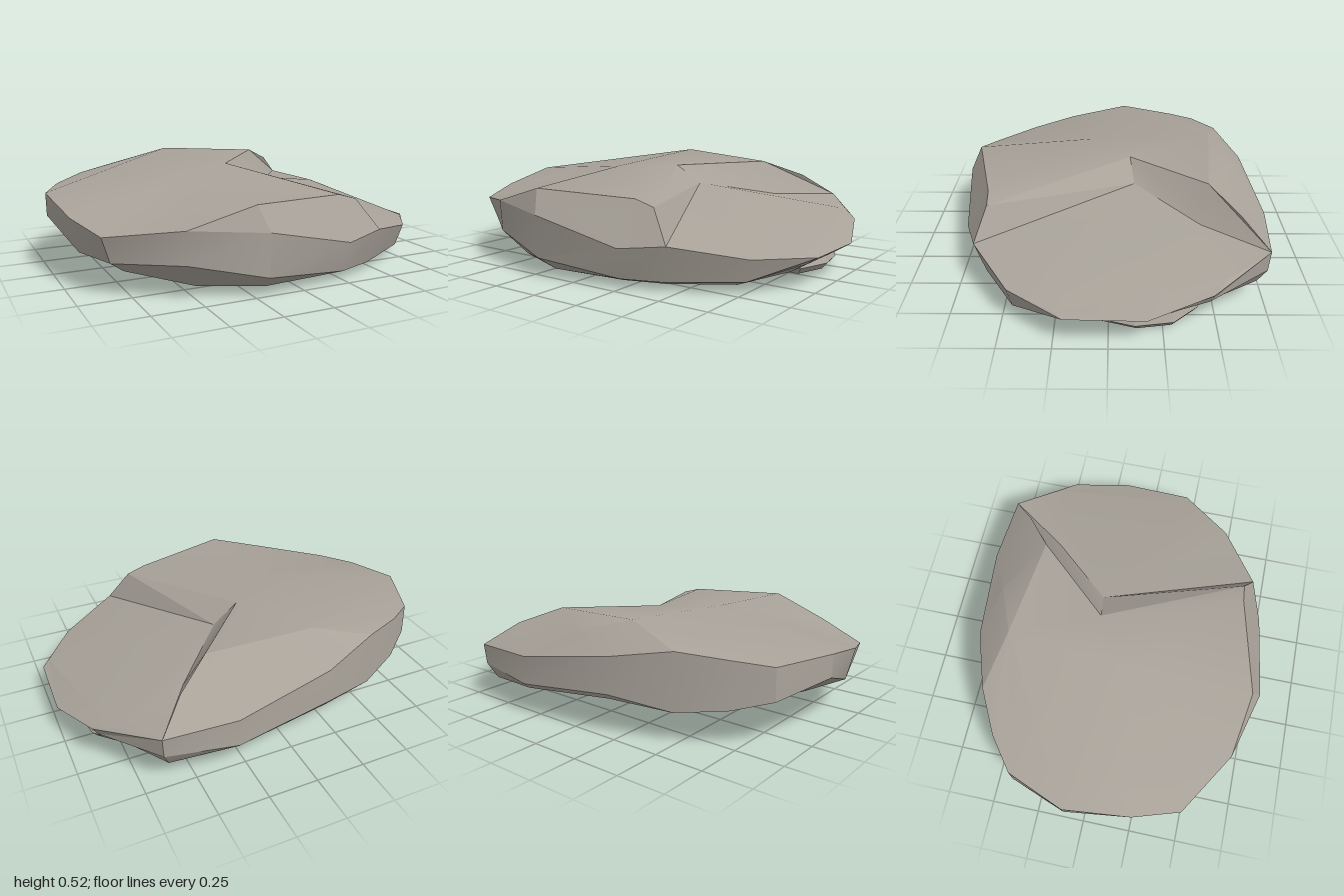
import * as THREE from 'three';
import { toCreasedNormals } from 'three/addons/utils/BufferGeometryUtils.js';
import { ConvexGeometry } from 'three/addons/geometries/ConvexGeometry.js';

// Outline columns, clockwise from the left tip:
// x, z, rim height, lower edge scale and height, belly scale and height
const columns = [
  [-1, -0.09, 0.40, 0.998, 0.285, 0.85, 0.18],
  [-0.88, -0.39, 0.39, 1.005, 0.23, 0.88, 0.21],
  [-0.72, -0.51, 0.42, 1.01, 0.19, 0.94, 0.19],
  [-0.5, -0.62, 0.445, 1.01, 0.16, 0.98, 0.16],
  [-0.2, -0.73, 0.39, 1.012, 0.21, 0.99, 0.185],
  [0.3, -0.79, 0.305, 1.01, 0.165, 0.98, 0.14],
  [0.66, -0.76, 0.295, 0.99, 0.19, 0.94, 0.11],
  [0.9, -0.47, 0.22, 0.97, 0.17, 0.89, 0.10],
  [1, -0.17, 0.155, 0.94, 0.115, 0.85, 0.08],
  [0.99, 0.2, 0.155, 0.93, 0.11, 0.85, 0.06],
  [0.79, 0.47, 0.17, 0.96, 0.06, 0.88, 0.03],
  [0.48, 0.67, 0.225, 0.93, 0.047, 0.86, 0.025],
  [0.26, 0.74, 0.20, 0.95, 0.05, 0.88, 0.03],
  [-0.2, 0.79, 0.31, 0.99, 0.10, 0.87, 0.03],
  [-0.56, 0.69, 0.335, 0.99, 0.175, 0.85, 0.045],
  [-0.88, 0.49, 0.295, 0.95, 0.165, 0.87, 0.11],
  [-0.96, 0.25, 0.34, 0.96, 0.17, 0.85, 0.13],
];

// Named corner points inside the outline
const points = {
  crest: [-0.2, 0.525, -0.55], middle: [-0.25, 0.478, 0.1],
  backEdge: [0.34, 0.49, -0.49], backLip: [0.52, 0.41, -0.63], backSlope: [0.05, 0.455, -0.66],
  notchTop: [0, 0.48, -0.11], notchFoot: [0.14, 0.39, -0.13], wallFoot: [0.44, 0.315, -0.45],
  frontA: [-0.24, 0.43, 0.735], frontB: [0.27, 0.41, 0.615], frontC: [0.37, 0.38, 0.61],
  bevelA: [0.82, 0.255, -0.54], bevelB: [0.95, 0.165, 0.24],
  keelA: [-0.15, 0.003, 0.48], keelB: [0.5, 0.003, 0.3], keelC: [0.08, 0.005, -0.04],
  biteCorner: [-0.016, 0.10, -0.17], biteEnd: [-0.59, 0.068, 0.42],
};
// Rim r, lower edge l and belly b points for every column
columns.forEach(([x, z, y, ls, ly, bs, by], i) => {
  points['r' + i] = [x, y, z];
  points['l' + i] = [x * ls, ly, z * ls];
  points['b' + i] = [x * bs, by, z * bs];
});

export function createModel() {
  const group = new THREE.Group();
  group.name = 'rock';
  const stone = new THREE.MeshStandardMaterial({ color: 0xa8a299 });
  stone.name = 'stone';

  const add = (name, geometry) => {
    const mesh = new THREE.Mesh(toCreasedNormals(geometry, 0.42), stone);
    mesh.name = name;
    group.add(mesh);
  };

  // Each face is a loop of point names, split as a fan from its first point
  const patch = (name, faces) => {
    const positions = [];
    for (const face of faces) {
      const p = face.split(' ').map((key) => points[key]);
      for (let i = 1; i < p.length - 1; i++) positions.push(...p[0], ...p[i], ...p[i + 1]);
    }
    const geometry = new THREE.BufferGeometry();
    geometry.setAttribute('position', new THREE.Float32BufferAttribute(positions, 3));
    add(name, geometry);
  };

  // High top slab with its sloping back and front faces
  patch('topSlab', [
    'crest r4 r3 r2 r1 r0 middle notchTop backEdge',
    'middle r0 r16 r15 r14 frontA frontB notchTop',
    'backSlope r5 r4 crest backEdge r5',
    'backEdge backLip r5', 'backLip r6 r5',
    'frontB frontC notchTop',
    'frontA r14 r13 r12 frontB', 'frontB r12 r11 frontC',
  ]);

  // Broken walls of the notch
  patch('notchWalls', [
    'notchFoot notchTop frontC r11',
    'notchTop notchFoot wallFoot backEdge',
    'backEdge wallFoot r6 backLip',
  ]);

  // Lower ledge and its worn outer edge
  patch('ledge', [
    'notchFoot r11 r10 bevelB bevelA wallFoot', 'wallFoot bevelA r6',
    'bevelB r10 r9 r8 bevelA', 'bevelA r8 r7 r6',
  ]);

  // Side band and undercut, column by column
  const n = columns.length;
  const sides = [];
  const undercut = [];
  for (let i = 0; i < n; i++) {
    const j = (i + 1) % n;
    sides.push(`r${i} r${j} l${j} l${i}`);
    undercut.push(`l${i} l${j} b${j} b${i}`);
  }
  patch('sideBand', sides);

  // Belly around the keel, and the broken-off bite at its back left
  patch('underside', [
    ...undercut,
    'keelC b5 b6 b7 b8 keelB keelA biteEnd',
    'keelB b8 b9 b10 b11 b12 keelA',
    'keelA b12 b13 b14 b15 biteEnd',
    'b15 b16 biteEnd',
  ]);
  patch('bite', [
    'biteCorner biteEnd b16 b0 b1 b2 b3 b4 b5',
    'biteEnd biteCorner keelC', 'biteCorner b5 keelC',
  ]);

  // Low foot bulging from the underside
  const footOutline = [[0.84, 0.06], [0.9, -0.12], [0.87, -0.3], [0.75, -0.42],
    [0.51, -0.49], [0.35, -0.45], [0.19, -0.18], [0.5, 0.05]];
  const footPoints = [];
  for (const [y, s] of [[0.015, 0.9], [0.05, 1], [0.09, 0.93]]) {
    for (const [x, z] of footOutline) {
      footPoints.push(new THREE.Vector3(0.58 + (x - 0.58) * s, y, -0.22 + (z + 0.22) * s));
    }
  }
  add('foot', new ConvexGeometry(footPoints));

  group.position.y = -0.003;
  return group;
}
